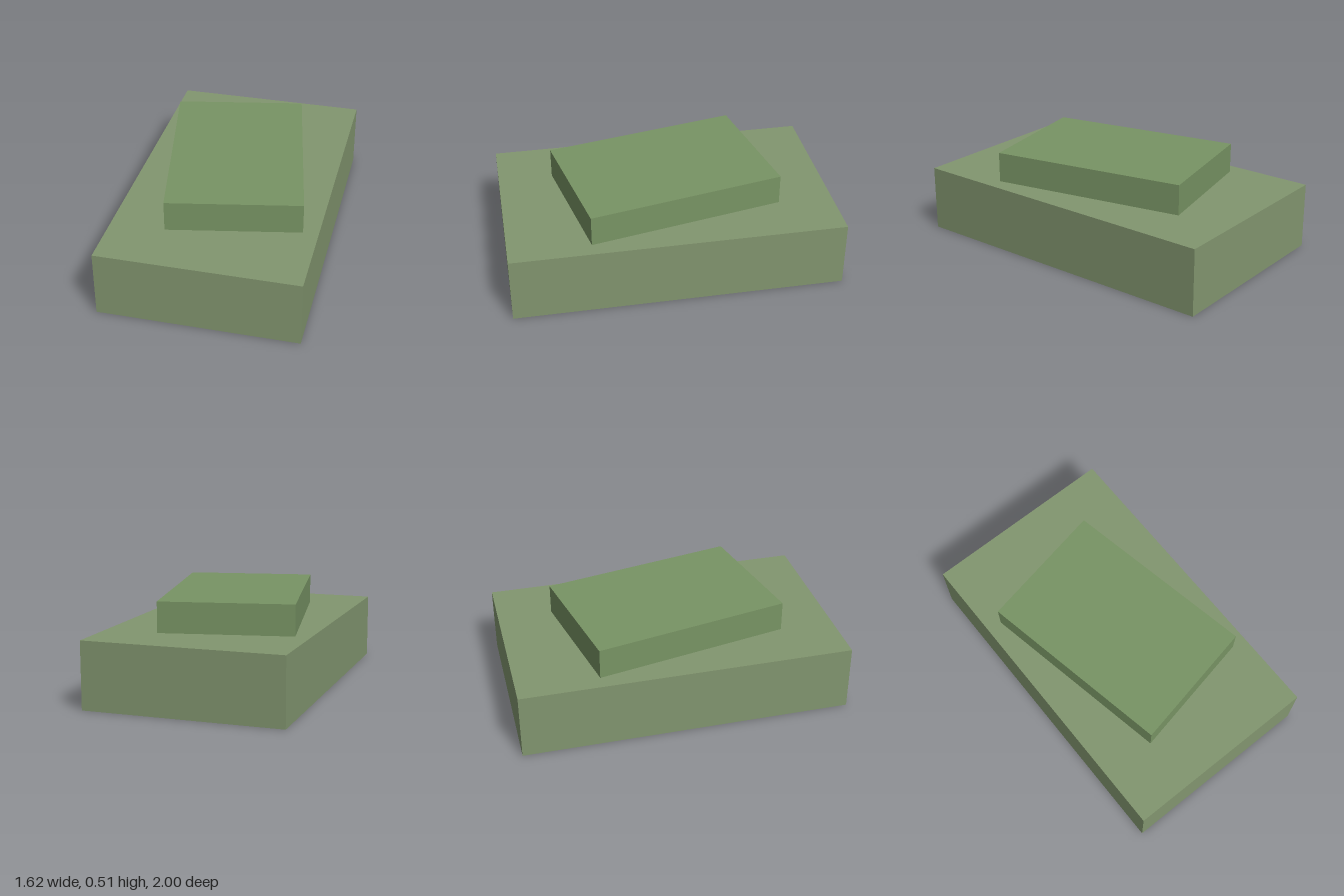
import * as THREE from 'three';

// Box resting on height y, turned about the vertical axis
function slab(name, [w, h, d], y, turn, color) {
  const mesh = new THREE.Mesh(
    new THREE.BoxGeometry(w, h, d),
    new THREE.MeshStandardMaterial({ color })
  );
  mesh.name = name;
  mesh.position.y = y + h / 2;
  mesh.rotation.y = turn;
  return mesh;
}

export function createModel() {
  const group = new THREE.Group();
  group.name = 'steppedBlock';
  // Wide lower block, with a smaller one on top turned half as far
  group.add(slab('lowerBlock', [1.04, 0.35, 1.734], 0, -Math.PI / 8, 0x82966f));
  group.add(slab('upperBlock', [0.692, 0.16, 1.04], 0.35, -Math.PI / 16, 0x789464));
  return group;
}
